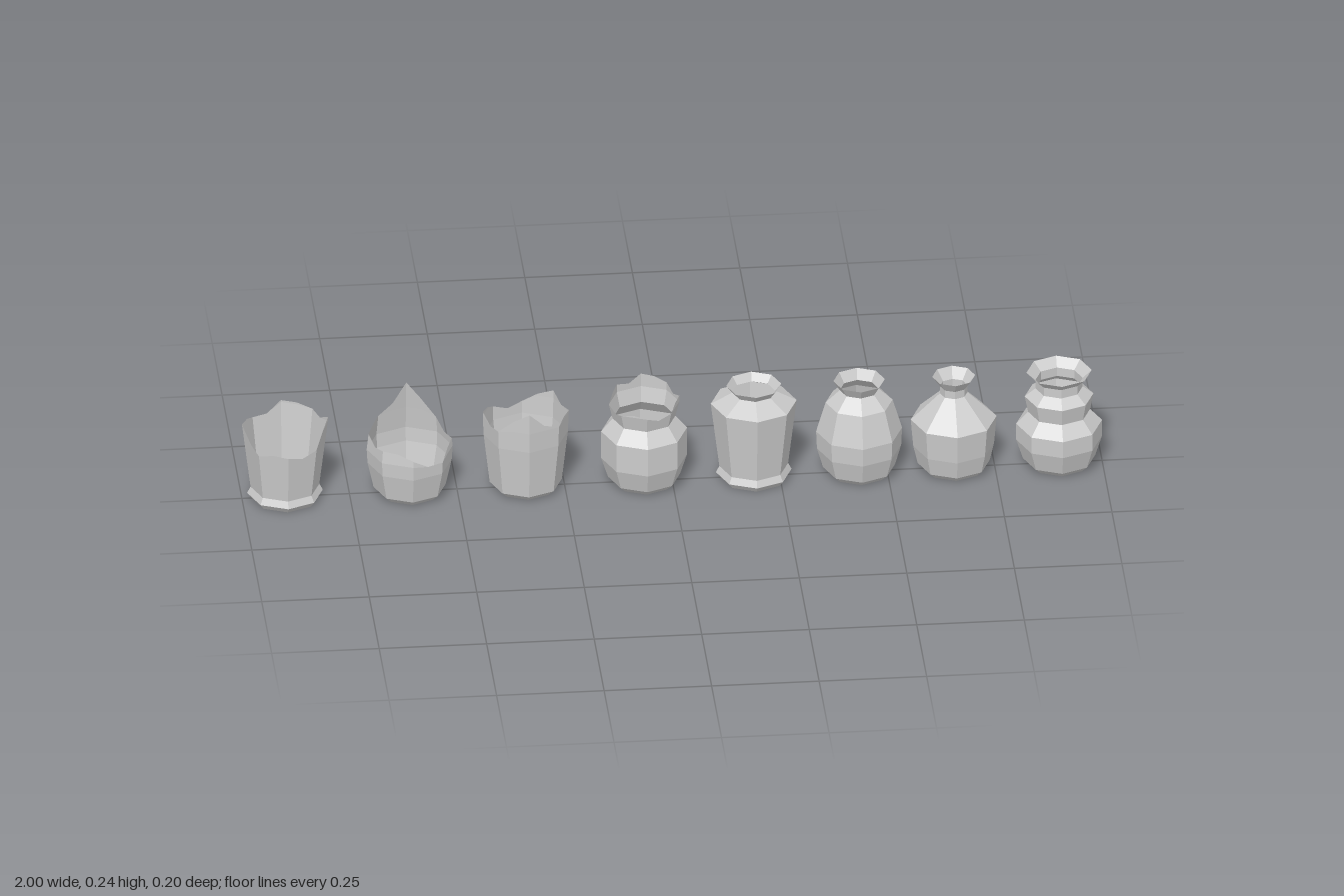
import * as THREE from 'three';

const material = new THREE.MeshStandardMaterial({
  color: 0xcccccc, flatShading: true, side: THREE.DoubleSide,
});

// Profiles run from the foot up as [radius, height]
const roundFoot = [[0.068, 0], [0.084, 0.015]];
const footedBody = [[0.077, 0], [0.088, 0.014], [0.08, 0.03], [0.1, 0.195]];

// Radius of a profile at a given height
function radiusAt(profile, y) {
  const k = Math.max(1, profile.findIndex((p) => p[1] >= y));
  const [r0, y0] = profile[k - 1], [r1, y1] = profile[k];
  return THREE.MathUtils.mapLinear(y, y0, y1, r0, r1);
}

// Thin eight-sided vessel with a closed floor and an open mouth
function jar(name, x, profile, segments = 8) {
  const points = [[0, 0], ...profile].map(([r, y]) => new THREE.Vector2(r, y));
  const mesh = new THREE.Mesh(new THREE.LatheGeometry(points, segments), material);
  mesh.name = name;
  mesh.position.x = x;
  return mesh;
}

// Vessel cut off along a jagged edge, given by the height left standing
// at each of the eight corners, from +z round by +x
function brokenJar(name, x, profile, corners) {
  const mesh = jar(name, x, profile, 16);
  const pos = mesh.geometry.attributes.position;
  const rows = profile.length + 1;
  for (let i = 0; i <= 16; i++) {
    const angle = i * Math.PI / 8;
    const middle = i % 2 === 1;
    const c = Math.floor(i / 2);
    // mid-side points are alternately chipped and raised, and lie on the flat side
    const chip = c % 2 ? 0.005 : -0.012;
    const limit = middle ? (corners[c] + corners[(c + 1) % 8]) / 2 + chip : corners[c % 8];
    const flat = middle ? Math.cos(Math.PI / 8) : 1;
    for (let j = 1; j < rows; j++) {
      const y = Math.min(profile[j - 1][1], limit);
      const r = radiusAt(profile, y) * flat;
      pos.setXYZ(i * rows + j, r * Math.sin(angle), y, r * Math.cos(angle));
    }
  }
  mesh.geometry.computeVertexNormals();
  return mesh;
}

export function createModel() {
  const group = new THREE.Group();
  group.name = 'rowOfJars';

  // Broken vessels
  group.add(
    brokenJar('brokenFootedJar', -0.9, [...footedBody, [0.1, 0.22]],
      [0.15, 0.155, 0.205, 0.19, 0.2, 0.175, 0.195, 0.145]),
    brokenJar('brokenBowl', -0.61,
      [...roundFoot, [0.098, 0.08], [0.1, 0.115], [0.094, 0.17], [0.085, 0.24]],
      [0.13, 0.11, 0.135, 0.155, 0.24, 0.165, 0.155, 0.145]),
    brokenJar('brokenTallJar', -0.34, [...roundFoot, [0.098, 0.14], [0.1, 0.19], [0.1, 0.24]],
      [0.24, 0.19, 0.195, 0.21, 0.17, 0.175, 0.2, 0.185]),
    brokenJar('brokenNeckedJar', -0.065,
      [...roundFoot, [0.1, 0.065], [0.1, 0.135], [0.073, 0.168], [0.082, 0.205], [0.082, 0.24]],
      [0.205, 0.205, 0.22, 0.225, 0.238, 0.225, 0.205, 0.205]),
  );

  // Whole vessels with flared rims
  group.add(
    jar('footedJar', 0.19, [...footedBody, [0.05, 0.222], [0.064, 0.24]]),
    jar('roundJar', 0.435,
      [...roundFoot, [0.098, 0.065], [0.1, 0.11], [0.078, 0.185], [0.045, 0.216], [0.06, 0.24]]),
    jar('narrowNeckJar', 0.655,
      [...roundFoot, [0.094, 0.06], [0.1, 0.13], [0.032, 0.196], [0.032, 0.215], [0.05, 0.24]]),
    jar('doubleBelliedJar', 0.9,
      [...roundFoot, [0.1, 0.065], [0.1, 0.107], [0.072, 0.137], [0.08, 0.178],
        [0.055, 0.198], [0.055, 0.22], [0.076, 0.24]]),
  );
  return group;
}
